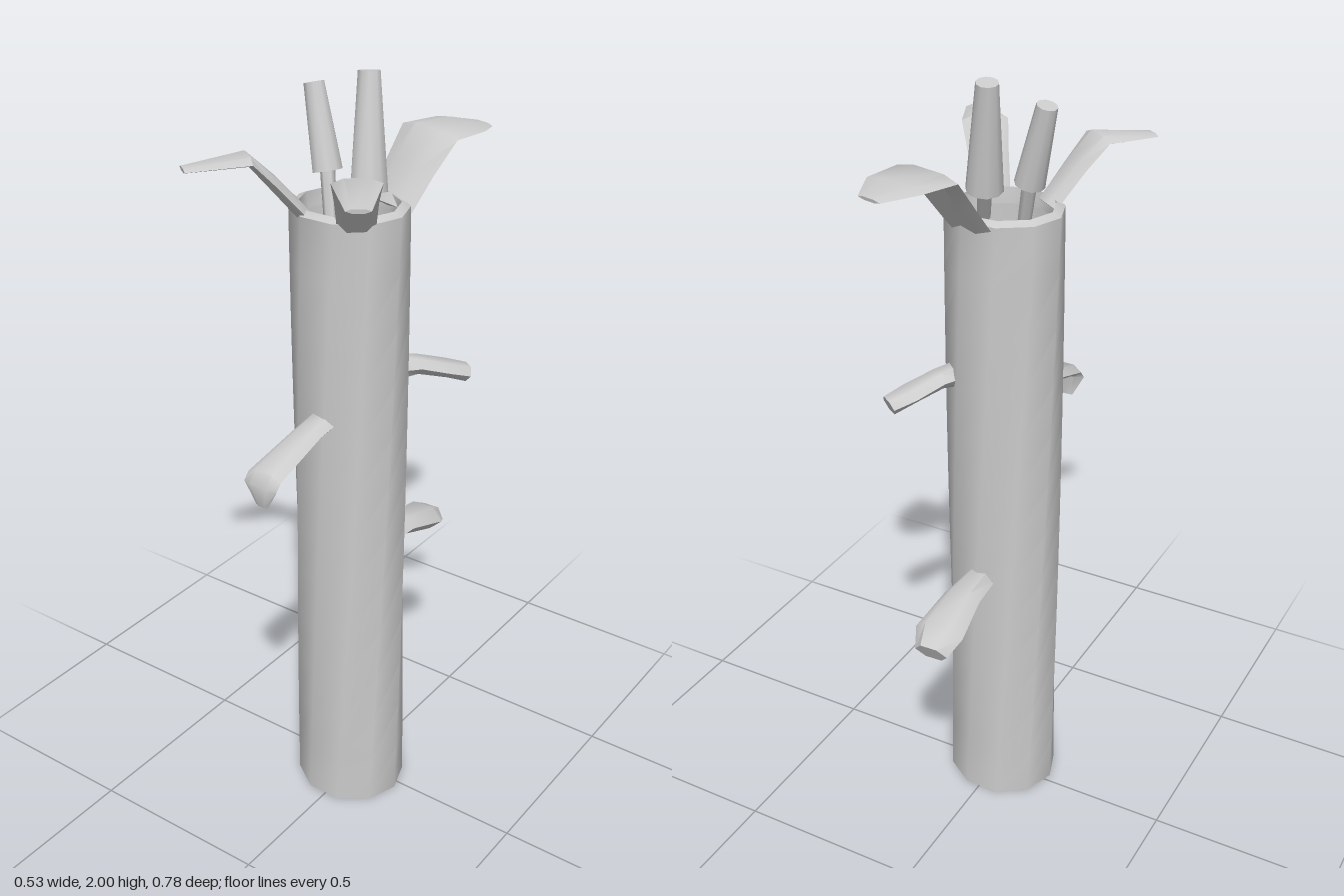
import * as THREE from 'three';
import { toCreasedNormals } from 'three/addons/utils/BufferGeometryUtils.js';

const material = new THREE.MeshStandardMaterial({ color: 0xcccccc, side: THREE.DoubleSide });
const V = (a) => new THREE.Vector3(...a);

// Skins a list of equal-sized point rings, optionally closing both ends.
function skin(rings, caps, crease) {
  const n = rings[0].length, pos = [], idx = [];
  rings.forEach((r) => r.forEach((p) => pos.push(p.x, p.y, p.z)));
  for (let i = 0; i < rings.length - 1; i++)
    for (let j = 0; j < n; j++) {
      const a = i * n + j, b = i * n + (j + 1) % n;
      idx.push(a, b, b + n, a, b + n, a + n);
    }
  if (caps) {
    const last = (rings.length - 1) * n;
    for (let j = 1; j < n - 1; j++) idx.push(0, j + 1, j, last, last + j, last + j + 1);
  }
  const g = new THREE.BufferGeometry();
  g.setAttribute('position', new THREE.Float32BufferAttribute(pos, 3));
  g.setIndex(idx);
  g.computeVertexNormals();
  return toCreasedNormals(g, crease);
}

// Blade along a path; each section is [x, y, z, halfWidth, halfThickness].
function blade(sections) {
  const c = sections.map((s) => V(s));
  c.forEach((p, i) => p.set(...sections[i].slice(0, 3)));
  const dir = c[c.length - 1].clone().sub(c[0]).setY(0).normalize();
  const side = new THREE.Vector3().crossVectors(dir, V([0, 1, 0]));
  const lens = [[-1, 0], [-0.5, -1], [0.5, -1], [1, 0], [0.5, 1], [-0.5, 1]];
  const rings = c.map((p, i) => {
    const tangent = c[Math.min(i + 1, c.length - 1)].clone().sub(c[Math.max(i - 1, 0)]).normalize();
    const normal = new THREE.Vector3().crossVectors(side, tangent).normalize();
    const [, , , w, t] = sections[i];
    return lens.map(([u, v]) => p.clone().addScaledVector(side, u * w).addScaledVector(normal, v * t));
  });
  // lens runs clockwise as seen from the tip, so reverse for outward faces
  const facing = new THREE.Vector3().crossVectors(side, V([0, 1, 0])).dot(dir);
  if (facing > 0) rings.forEach((r) => r.reverse());
  return skin(rings.map((r) => r.slice().reverse()), true, 0.9);
}

// Tapered rod between two points.
function rod(from, to, rFrom, rTo, sides) {
  const a = V(from), b = V(to), d = b.clone().sub(a);
  const g = new THREE.CylinderGeometry(rTo, rFrom, d.length(), sides);
  g.applyQuaternion(new THREE.Quaternion().setFromUnitVectors(V([0, 1, 0]), d.clone().normalize()));
  const mid = a.add(b).multiplyScalar(0.5);
  return g.translate(mid.x, mid.y, mid.z);
}

// Hollow ten-sided stem, twisted one side along its height, with an inward lip.
function stemGeometry() {
  const sides = 10, rings = [];
  const ring = (y, scale, turn) => {
    const pts = [];
    for (let j = 0; j < sides; j++) {
      const a = ((j + 0.5 + turn) / sides) * Math.PI * 2;
      pts.push(V([-0.007 + Math.sin(a) * 0.151 * scale, y, 0.022 + Math.cos(a) * 0.14 * scale]));
    }
    return pts;
  };
  for (let i = 0; i <= 12; i++) {
    const t = i / 12;
    rings.push(ring(1.69 * t, 1 - 0.025 * t, t));
  }
  rings.push(ring(1.7, 0.83, 1), ring(1.66, 0.8, 1));
  return skin(rings, false, 0.75);
}

export function createModel() {
  const model = new THREE.Group();
  const add = (name, geometry) => {
    const mesh = new THREE.Mesh(geometry, material);
    mesh.name = name;
    model.add(mesh);
  };

  add('stem', stemGeometry());

  // Petals bending outward from the rim
  for (const s of [1, -1])
    add(s > 0 ? 'frontLeftPetal' : 'frontRightPetal', blade([
      [s * 0.075, 1.68, 0.11, 0.045, 0.016],
      [s * 0.118, 1.765, 0.17, 0.05, 0.014],
      [s * 0.152, 1.825, 0.216, 0.057, 0.011],
      [s * 0.24, 1.814, 0.335, 0.028, 0.005],
    ]));
  add('backPetal', blade([
    [0.035, 1.67, -0.08, 0.08, 0.016],
    [0.052, 1.75, -0.14, 0.085, 0.014],
    [0.068, 1.825, -0.2, 0.096, 0.011],
    [0.093, 1.825, -0.3, 0.085, 0.008],
    [0.112, 1.813, -0.37, 0.035, 0.004],
  ]));

  // Stamens: thin stalk and tapered head
  const stamens = [
    ['left', [0.07, 1.64, 0.06], [0.04, 1.73, 0.01], [0.008, 1.995, -0.034], 0.046, 0.027],
    ['right', [-0.045, 1.64, 0.045], [-0.075, 1.76, 0.015], [-0.127, 1.955, -0.005], 0.037, 0.025],
  ];
  for (const [side, root, base, tip, r1, r2] of stamens) {
    add(side + 'StamenStalk', rod(root, base, 0.016, 0.018, 6));
    add(side + 'StamenHead', toCreasedNormals(rod(base, tip, r1, r2, 10), 0.9));
  }

  // Leaves on the stem
  add('frontLeaf', blade([
    [-0.005, 1.175, 0.13, 0.04, 0.022],
    [-0.006, 1.165, 0.2, 0.04, 0.016],
    [-0.009, 1.12, 0.365, 0.05, 0.016],
    [-0.011, 1.1, 0.38, 0.05, 0.01],
    [-0.013, 1.042, 0.373, 0.018, 0.004],
  ]));
  add('sideLeaf', blade([
    [0.075, 1.27, -0.045, 0.03, 0.03],
    [0.11, 1.268, -0.1, 0.036, 0.02],
    [0.155, 1.245, -0.165, 0.043, 0.018],
    [0.187, 1.225, -0.21, 0.032, 0.02],
  ]));
  add('backLeaf', blade([
    [-0.002, 0.71, -0.09, 0.04, 0.028],
    [-0.004, 0.712, -0.2, 0.05, 0.024],
    [-0.006, 0.68, -0.32, 0.066, 0.03],
    [-0.012, 0.653, -0.372, 0.045, 0.028],
  ]));
  return model;
}
